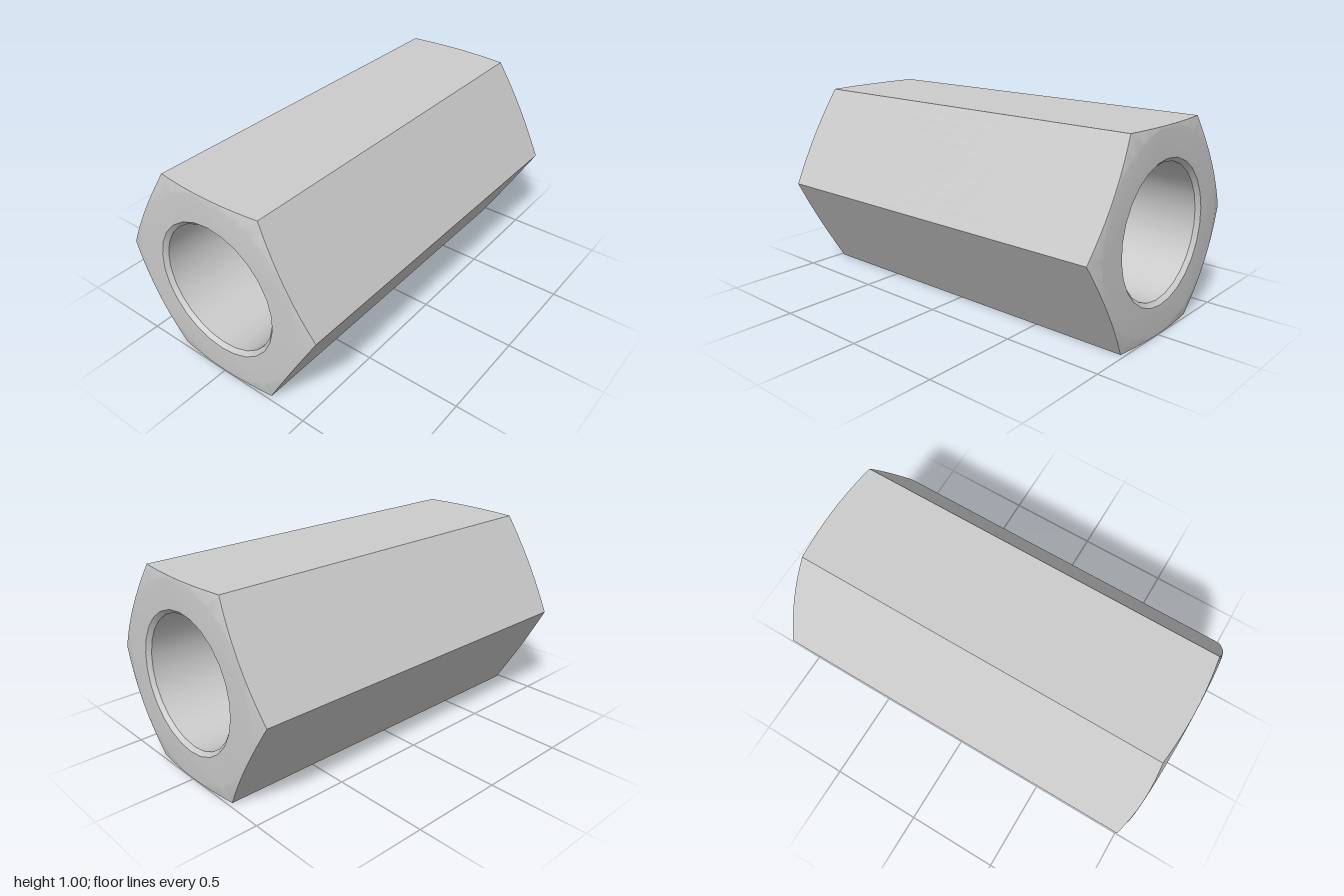
import * as THREE from 'three';
import { mergeGeometries, toCreasedNormals } from 'three/addons/utils/BufferGeometryUtils.js';

const HALF = 1;            // half length along z
const APOTHEM = 0.5;       // centre to flat
const FLAT_R = 0.495;      // flat end disc, chamfer starts here
const BORE_R = 0.33, MOUTH_R = 0.35, MOUTH_DEPTH = 0.02;
const HEX_STEPS = 72, BORE_STEPS = 26;

// Radius of the hexagon at an angle, with corners at 0, 60, 120... degrees
function hexRadius(a) {
  const step = Math.PI / 3;
  const local = ((a % step) + step) % step;
  return APOTHEM / Math.cos(local - step / 2);
}

// One closed ring of points; radius and z are functions of the angle
function ring(steps, radius, z) {
  return Array.from({ length: steps }, (_, k) => {
    const a = (k / steps) * Math.PI * 2 + Math.PI / 2;
    return new THREE.Vector3(radius(a) * Math.cos(a), radius(a) * Math.sin(a), z(a));
  });
}

// Skin consecutive rings (front to back faces outward, back to front faces inward)
function skin(rings) {
  const points = [];
  for (let i = 0; i + 1 < rings.length; i++) {
    const n = rings[i].length;
    for (let k = 0; k < n; k++) {
      const m = (k + 1) % n;
      const a = rings[i][k], b = rings[i][m], c = rings[i + 1][k], d = rings[i + 1][m];
      points.push(a, c, b, b, c, d);
    }
  }
  return new THREE.BufferGeometry().setFromPoints(points);
}

const circle = (steps, r, z) => ring(steps, () => r, () => z);

// Flat annular end face
function endFace() {
  const flat = (steps, r) => circle(steps, r, 0).map((p) => new THREE.Vector2(p.x, p.y));
  const shape = new THREE.Shape(flat(HEX_STEPS, FLAT_R));
  shape.holes.push(new THREE.Path(flat(BORE_STEPS, MOUTH_R)));
  const geometry = new THREE.ShapeGeometry(shape).toNonIndexed();
  geometry.deleteAttribute('uv');
  geometry.deleteAttribute('normal');
  return geometry.translate(0, 0, HALF);
}

export function createModel() {
  const group = new THREE.Group();
  group.name = 'couplingNut';
  const material = new THREE.MeshStandardMaterial({ color: 0xcccccc });

  // Hexagonal body: conical chamfers trim the corners at both ends
  const slope = Math.tan(THREE.MathUtils.degToRad(14.5));
  const edgeZ = (a) => HALF - (hexRadius(a) - FLAT_R) * slope;
  const shell = skin([
    circle(HEX_STEPS, FLAT_R, HALF),
    ring(HEX_STEPS, hexRadius, edgeZ),
    ring(HEX_STEPS, hexRadius, (a) => -edgeZ(a)),
    circle(HEX_STEPS, FLAT_R, -HALF),
  ]);
  const bodyGeometry = mergeGeometries([shell, endFace(), endFace().rotateY(Math.PI)]);
  const body = new THREE.Mesh(toCreasedNormals(bodyGeometry, Math.PI / 6), material);
  body.name = 'hexBody';

  // Through bore with countersunk mouths
  const boreGeometry = skin([
    circle(BORE_STEPS, MOUTH_R, -HALF),
    circle(BORE_STEPS, BORE_R, -HALF + MOUTH_DEPTH),
    circle(BORE_STEPS, BORE_R, HALF - MOUTH_DEPTH),
    circle(BORE_STEPS, MOUTH_R, HALF),
  ]);
  const bore = new THREE.Mesh(toCreasedNormals(boreGeometry, Math.PI / 6), material);
  bore.name = 'bore';

  for (const mesh of [body, bore]) {
    mesh.position.y = APOTHEM;
    group.add(mesh);
  }
  return group;
}
